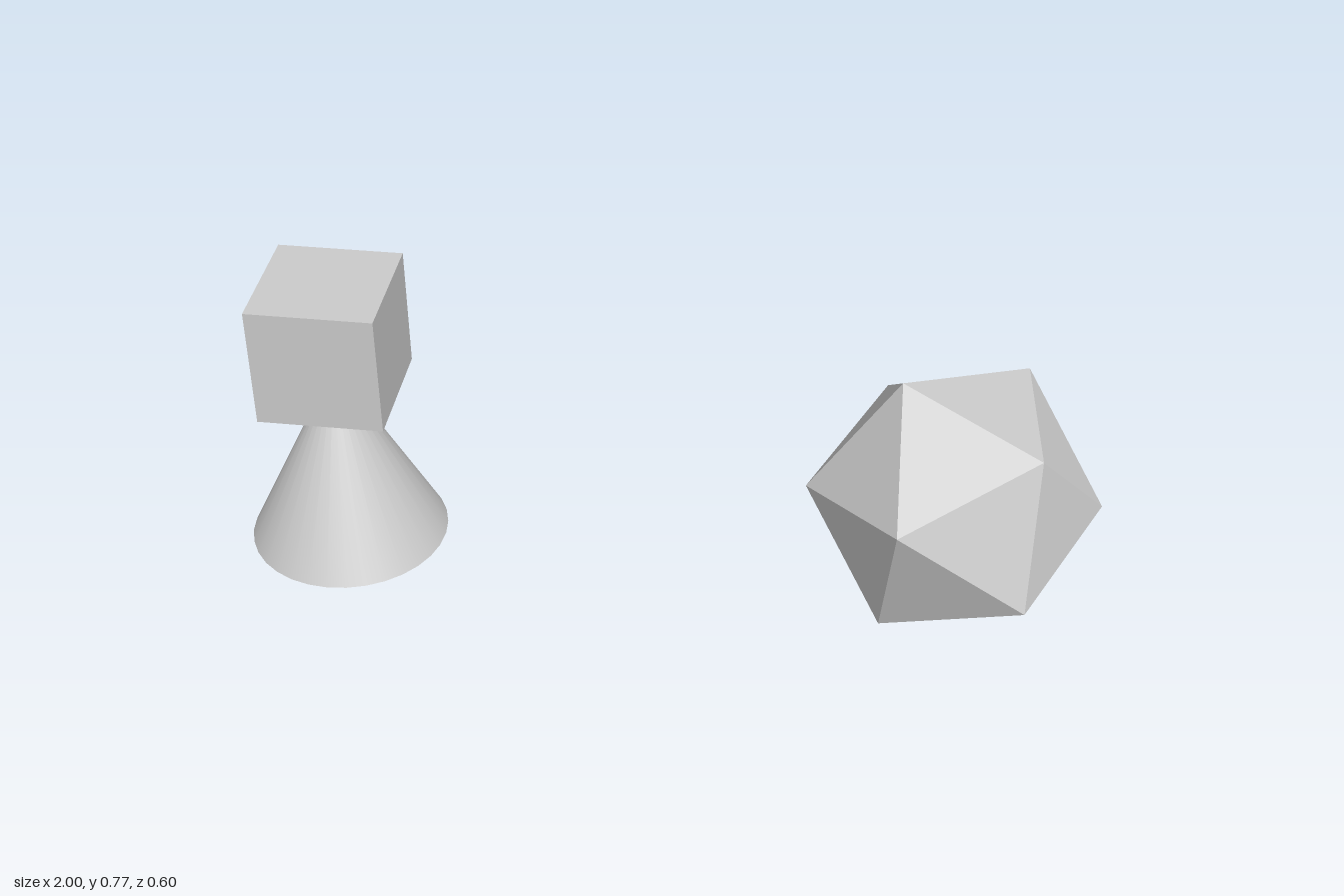
import * as THREE from 'three';

export function createModel() {
  const group = new THREE.Group();
  const smooth = new THREE.MeshStandardMaterial({ color: 0xcccccc });
  const flat = new THREE.MeshStandardMaterial({ color: 0xcccccc, flatShading: true });

  const add = (name, geometry, material, x, y, z) => {
    const mesh = new THREE.Mesh(geometry, material);
    mesh.name = name;
    mesh.position.set(x, y, z);
    group.add(mesh);
    return mesh;
  };

  // Cone with its tip sunk into the cube above
  const coneHeight = 0.466;
  add('cone', new THREE.ConeGeometry(0.233, coneHeight, 32), smooth, -0.767, 0.08 + coneHeight / 2, 0);

  // Cube resting on the cone
  add('cube', new THREE.BoxGeometry(0.29, 0.29, 0.29), flat, -0.767, 0.625, 0);

  // Tilted icosahedron, turned so that its upper edge runs along edgeDir
  const icosahedron = add('icosahedron', new THREE.IcosahedronGeometry(0.338, 0), flat, 0.66, 0.313, 0);
  const edgeDir = new THREE.Vector3(0.311, -0.073, 0.153).normalize();
  const side = new THREE.Vector3().crossVectors(edgeDir, new THREE.Vector3(0.043, 0.547, 0.177)).normalize();
  const up = new THREE.Vector3().crossVectors(side, edgeDir);
  icosahedron.quaternion.setFromRotationMatrix(new THREE.Matrix4().makeBasis(edgeDir, up, side));

  return group;
}
